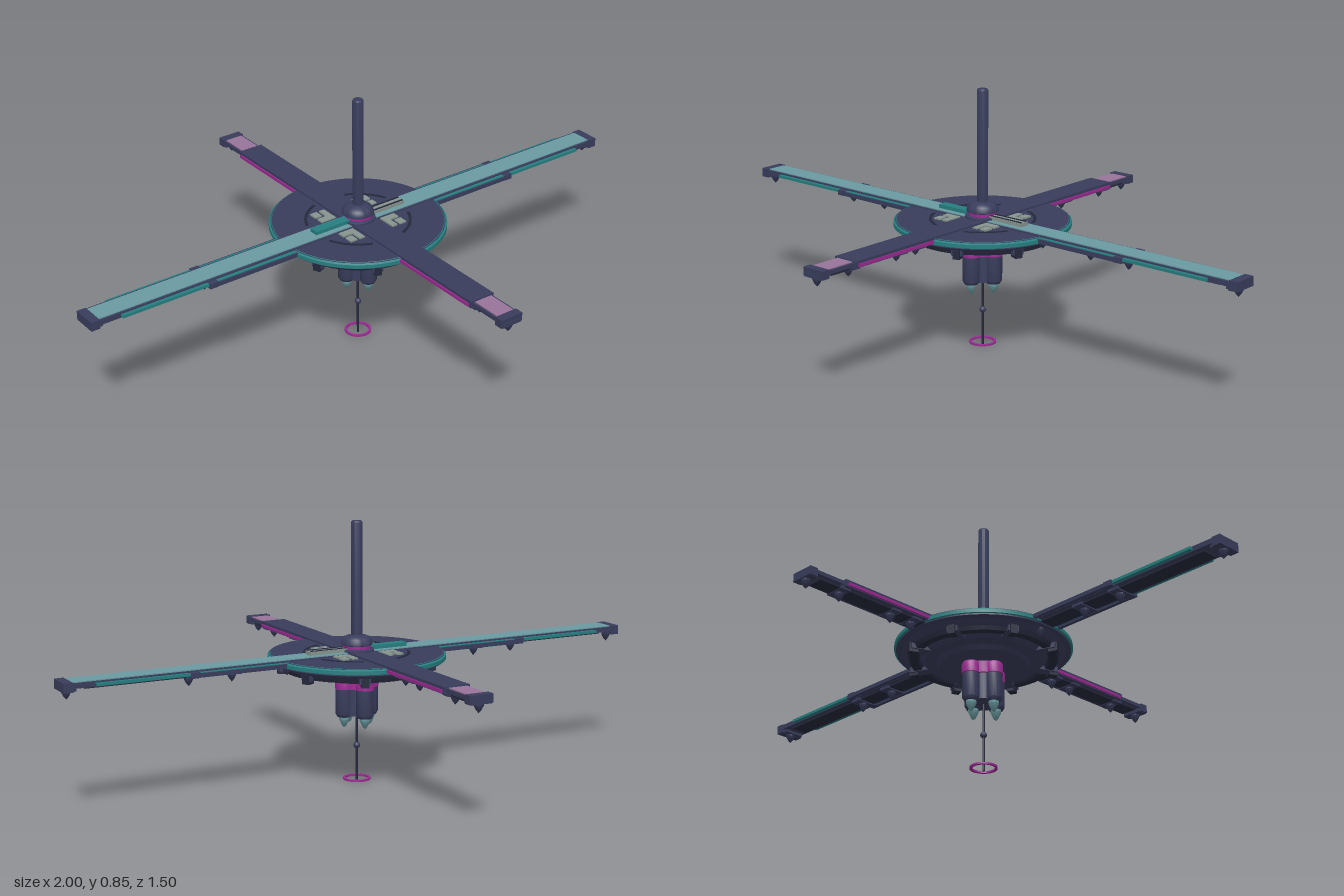
import * as THREE from 'three';
import { toCreasedNormals } from 'three/addons/utils/BufferGeometryUtils.js';

export function createModel() {
  const model = new THREE.Group();
  const paint = (name, color) => {
    const m = new THREE.MeshStandardMaterial({ color });
    m.name = name;
    return m;
  };
  const navy = paint('navy hull', 0x393d5c);
  const dark = paint('dark trim', 0x25283c);
  const teal = paint('teal trim', 0x267f80);
  const glass = paint('pale teal panel', 0x6a9ba1);
  const magenta = paint('magenta trim', 0x9c2a92);
  const mauve = paint('mauve panel', 0x98749a);
  const grey = paint('grey green plate', 0x87958f);

  const add = (name, geo, mat, x = 0, y = 0, z = 0, parent = model) => {
    const mesh = new THREE.Mesh(geo, mat);
    mesh.name = name;
    mesh.position.set(x, y, z);
    parent.add(mesh);
    return mesh;
  };
  // Box given by its lower and upper limits
  const box = (name, mat, x0, x1, y0, y1, z0, z1, parent) =>
    add(name, new THREE.BoxGeometry(x1 - x0, y1 - y0, z1 - z0), mat,
      (x0 + x1) / 2, (y0 + y1) / 2, (z0 + z1) / 2, parent);
  // Profile of [radius, y] pairs, from bottom to top
  const lathe = (name, mat, pts, seg = 48, x = 0, z = 0, parent = model) =>
    add(name, toCreasedNormals(new THREE.LatheGeometry(
      pts.map(p => new THREE.Vector2(...p)), seg), 0.6), mat, x, 0, z, parent);
  // Flat curved strip lying on the disc
  const arc = (name, mat, r0, r1, a0, a1, y, h) => {
    const s = new THREE.Shape();
    s.absarc(0, 0, r1, a0, a1, false);
    s.absarc(0, 0, r0, a1, a0, true);
    const g = new THREE.ExtrudeGeometry(s, { depth: h, bevelEnabled: false, curveSegments: 10 });
    g.rotateX(-Math.PI / 2);
    return add(name, g, mat, 0, y, 0);
  };

  // Stepped central disc with teal rim
  lathe('disc', navy, [[0, 0.352], [0.14, 0.352], [0.15, 0.366], [0.185, 0.37], [0.2, 0.385],
    [0.245, 0.388], [0.262, 0.403], [0.28, 0.405], [0.28, 0.427], [0, 0.427]], 64);
  lathe('discRim', teal, [[0.27, 0.408], [0.286, 0.41], [0.286, 0.422], [0.276, 0.428]], 64);
  lathe('lowerRing', dark, [[0.205, 0.386], [0.21, 0.374], [0.235, 0.374], [0.24, 0.39]], 64);
  for (let i = 0; i < 8; i++) {
    const bracket = new THREE.Group();
    bracket.name = 'discBracket';
    bracket.rotation.y = (i + 0.5) * Math.PI / 4;
    box('bracketBlock', navy, 0.15, 0.25, 0.372, 0.39, -0.018, 0.018, bracket);
    box('bracketFoot', dark, 0.225, 0.255, 0.362, 0.392, -0.012, 0.012, bracket);
    model.add(bracket);
  }

  // Inlaid plates and curved grooves on top of the disc
  for (const sx of [-1, 1]) for (const sz of [-1, 1]) {
    const span = (name, x0, x1, z0, z1) => box(name, grey,
      Math.min(sx * x0, sx * x1), Math.max(sx * x0, sx * x1), 0.425, 0.432,
      Math.min(sz * z0, sz * z1), Math.max(sz * z0, sz * z1));
    span('discPlate', 0.055, 0.075, 0.045, 0.11);
    span('discPlate', 0.075, 0.11, 0.045, 0.07);
    span('discPlate', 0.085, 0.11, 0.08, 0.11);
  }
  for (let i = 0; i < 4; i++) {
    const mid = Math.PI / 4 + i * Math.PI / 2;
    arc('discGroove', dark, 0.163, 0.172, mid - 0.42, mid + 0.42, 0.425, 0.004);
  }

  // Pointed pod hanging beneath an arm
  const pod = (along, parent) => lathe('pod', navy,
    [[0, 0.375], [0.008, 0.384], [0.015, 0.398], [0.015, 0.418], [0, 0.418]], 10, along, 0, parent);

  // Arms extend along their own +x
  const arm = (name, angle) => {
    const g = new THREE.Group();
    g.name = name;
    g.rotation.y = angle;
    model.add(g);
    return g;
  };
  // Long side arms
  for (const a of [0, Math.PI]) {
    const g = arm('longArm', a);
    box('beam', navy, 0, 0.975, 0.414, 0.43, -0.042, 0.042, g);
    box('topPanel', glass, 0.05, 0.97, 0.426, 0.433, -0.034, 0.034, g);
    box('endCap', navy, 0.97, 1, 0.403, 0.433, -0.042, 0.042, g);
    box('underPanel', dark, 0.28, 0.93, 0.408, 0.416, -0.028, 0.028, g);
    for (const s of [-1, 1]) {
      box('edgeStrip', teal, 0.25, 0.9, 0.417, 0.426, s * 0.048 - 0.006, s * 0.048 + 0.006, g);
      box('sideRail', navy, 0.57, 0.6, 0.41, 0.427, s * 0.05 - 0.01, s * 0.05 + 0.01, g);
      box('sideRail', navy, 0.27, 0.58, 0.411, 0.424, s * 0.054 - 0.006, s * 0.054 + 0.006, g);
    }
    for (const x of [0.25, 0.44, 0.585, 0.978]) {
      box('podMount', navy, x - 0.02, x + 0.02, 0.404, 0.416, -0.035, 0.035, g);
      pod(x, g);
    }
  }
  // Shorter front and back arms
  for (const a of [Math.PI / 2, -Math.PI / 2]) {
    const g = arm('shortArm', a);
    box('beam', navy, 0, 0.615, 0.411, 0.433, -0.044, 0.044, g);
    box('outerBeam', navy, 0.6, 0.745, 0.416, 0.428, -0.038, 0.038, g);
    box('topPanel', mauve, 0.618, 0.718, 0.424, 0.431, -0.031, 0.031, g);
    box('endCap', navy, 0.72, 0.748, 0.405, 0.432, -0.04, 0.04, g);
    box('underPanel', dark, 0.28, 0.7, 0.406, 0.417, -0.028, 0.028, g);
    for (const s of [-1, 1])
      box('edgeStrip', magenta, 0.27, 0.605, 0.414, 0.424, s * 0.045 - 0.004, s * 0.045 + 0.004, g);
    for (const x of [0.315, 0.4, 0.605, 0.732]) {
      box('podMount', navy, x - 0.018, x + 0.018, 0.404, 0.416, -0.034, 0.034, g);
      pod(x, g);
    }
  }

  // Raised bars across the hub
  box('leftHubBar', grey, 0.04, 0.175, 0.43, 0.445, -0.016, 0.016);
  box('rightHubBar', teal, -0.175, -0.04, 0.43, 0.445, -0.016, 0.016);
  for (const z of [-0.011, 0.011])
    box('hubGroove', dark, 0.04, 0.172, 0.443, 0.447, z - 0.003, z + 0.003);

  // Hub dome and spire
  lathe('hubBase', navy, [[0.056, 0.42], [0.056, 0.438], [0.05, 0.441], [0, 0.441]], 32);
  lathe('hubBand', magenta, [[0.046, 0.438], [0.046, 0.452], [0, 0.452]], 32);
  lathe('hubDome', navy, [[0.044, 0.45], [0.051, 0.453], [0.051, 0.46], [0.045, 0.472],
    [0.034, 0.48], [0.02, 0.484], [0, 0.485]], 32);
  lathe('spire', navy, [[0.018, 0.475], [0.018, 0.845], [0.015, 0.85], [0, 0.85]], 12);

  // Engine cluster of four lobes with nozzles
  lathe('engineCore', navy, [[0, 0.225], [0.05, 0.225], [0.05, 0.355]], 24);
  for (const [x, z] of [[0.046, 0], [-0.046, 0], [0, 0.055], [0, -0.055]]) {
    lathe('engineLobe', navy, [[0, 0.22], [0.022, 0.22], [0.028, 0.23], [0.028, 0.312]], 16, x, z);
    lathe('engineBand', magenta, [[0.02, 0.31], [0.03, 0.313], [0.03, 0.345], [0.024, 0.354]], 16, x, z);
    lathe('nozzle', glass, [[0, 0.184], [0.007, 0.19], [0.017, 0.212], [0.017, 0.222]], 12, x, z);
  }
  lathe('engineBandCore', magenta, [[0.04, 0.311], [0.056, 0.313], [0.056, 0.353]], 24);

  // Antenna, bead and lower ring
  add('antenna', new THREE.CylinderGeometry(0.004, 0.004, 0.23, 8), dark, 0, 0.115, 0);
  add('antennaBead', new THREE.SphereGeometry(0.011, 12, 8), navy, 0, 0.12, 0);
  lathe('antennaRing', magenta, [[0.036, 0.007], [0.044, 0.007], [0.044, 0.013],
    [0.036, 0.013], [0.036, 0.007]], 40);
  return model;
}
